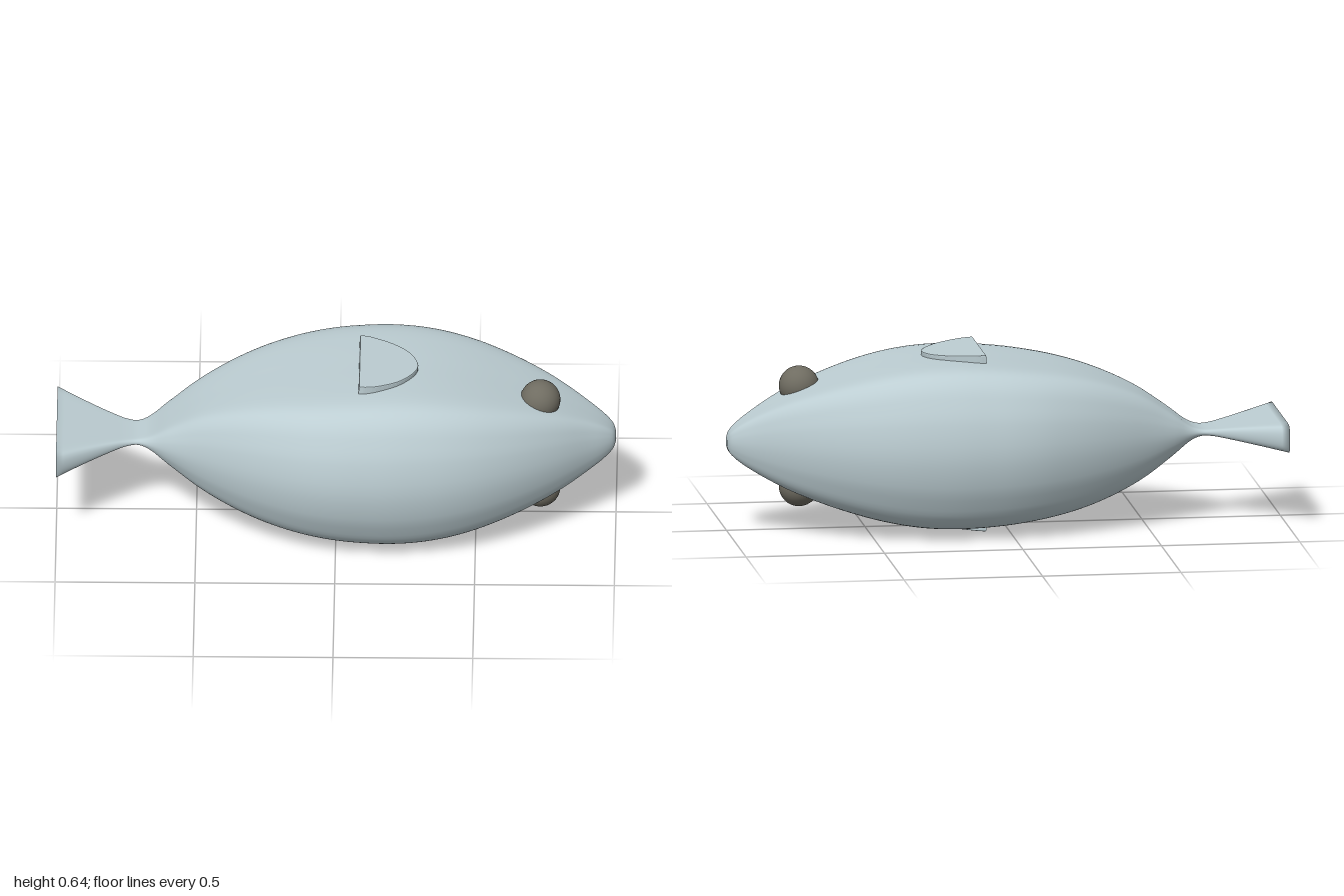
import * as THREE from 'three';

const MID = 0.3215; // height of the fish's plane of symmetry

const skin = new THREE.MeshStandardMaterial({ color: 0xbccdd2 });
skin.name = 'pale blue grey';
const eyeColor = new THREE.MeshStandardMaterial({ color: 0x6f6c61 });
eyeColor.name = 'dark olive grey';

// Body stations from tail to nose: x, half thickness (y), half width (z)
const STATIONS = [
  [-1, 0.052, 0.255], [-0.9, 0.036, 0.178], [-0.8, 0.02, 0.11], [-0.75, 0.013, 0.083],
  [-0.71, 0.012, 0.075], [-0.67, 0.025, 0.09], [-0.6, 0.076, 0.135], [-0.5, 0.143, 0.196],
  [-0.4, 0.191, 0.256], [-0.3, 0.227, 0.31], [-0.2, 0.253, 0.355], [-0.1, 0.271, 0.39],
  [0, 0.284, 0.41], [0.1, 0.292, 0.417], [0.2, 0.295, 0.417], [0.3, 0.291, 0.407],
  [0.4, 0.278, 0.388], [0.5, 0.257, 0.357], [0.6, 0.229, 0.313], [0.7, 0.196, 0.257],
  [0.8, 0.156, 0.19], [0.9, 0.104, 0.114], [0.96, 0.065, 0.07], [0.99, 0.037, 0.042], [1, 0.014, 0.018],
];

// Quarters of the unit cross-section (z, y), from side ridge to flattened top
const BODY_QUARTER = [[1, 0], [0.96, 0.39], [0.892, 0.63], [0.82, 0.81], [0.72, 0.935], [0.6, 0.985], [0.35, 1]];
const TAIL_QUARTER = [[1, 0], [0.99, 0.4], [0.965, 0.68], [0.925, 0.87], [0.87, 0.96], [0.75, 1], [0.4, 1]];

function sectionRing(quarter, count) {
  const upper = [...quarter, [0, 1], ...quarter.slice(1).reverse().map(([z, y]) => [-z, y])];
  const all = [...upper, ...upper.map(([z, y]) => [-z, -y])];
  const curve = new THREE.CatmullRomCurve3(all.map(([z, y]) => new THREE.Vector3(0, y, z)), true);
  return curve.getPoints(count).slice(0, count);
}

function bodyGeometry() {
  const n = 84;
  const bodyRing = sectionRing(BODY_QUARTER, n);
  const tailRing = sectionRing(TAIL_QUARTER, n);
  const path = new THREE.CatmullRomCurve3(STATIONS.map((s) => new THREE.Vector3(...s)));
  const rows = path.getPoints(96);
  const pos = [], index = [];

  // skin between neighbouring rings, blending from tail to body section
  rows.forEach((s, i) => {
    const blend = THREE.MathUtils.smoothstep(s.x, -0.8, -0.55);
    for (let j = 0; j < n; j++) {
      const p = tailRing[j].clone().lerp(bodyRing[j], blend);
      pos.push(s.x, p.y * s.y, p.z * s.z);
    }
    if (i === rows.length - 1) return;
    for (let j = 0; j < n; j++) {
      const k = (j + 1) % n;
      const a = i * n + j, b = a + n, c = i * n + k, d = c + n;
      index.push(a, b, c, b, d, c);
    }
  });

  // closed nose tip and tail end, shaded smoothly with the skin
  const last = (rows.length - 1) * n;
  const tip = pos.length / 3;
  pos.push(1, 0, 0, -1, 0, 0);
  for (let j = 0; j < n; j++) {
    const k = (j + 1) % n;
    index.push(tip, last + k, last + j, tip + 1, j, k);
  }

  const geo = new THREE.BufferGeometry();
  geo.setAttribute('position', new THREE.Float32BufferAttribute(pos, 3));
  geo.setIndex(index);
  geo.computeVertexNormals();
  return geo;
}

// D-shaped fin plate with a fine bevel, centred on its own thickness
function finGeometry() {
  const cx = 0.185, depth = 0.032, bevel = 0.004;
  const outline = [[0.085, -0.148], [0.12, -0.143], [0.2, -0.105], [0.26, -0.05], [0.287, 0.02],
    [0.272, 0.08], [0.22, 0.143], [0.15, 0.183], [0.105, 0.195], [0.085, 0.194]];
  const shape = new THREE.Shape();
  shape.moveTo(outline[0][0] - cx, -outline[0][1]);
  shape.splineThru(outline.slice(1).map(([x, z]) => new THREE.Vector2(x - cx, -z)));
  shape.closePath();
  const geo = new THREE.ExtrudeGeometry(shape, {
    depth, curveSegments: 4, bevelThickness: bevel, bevelSize: bevel, bevelSegments: 2,
  });
  return geo.translate(0, 0, -depth / 2).rotateX(-Math.PI / 2);
}

export function createModel() {
  const fish = new THREE.Group();
  fish.name = 'fish';
  const add = (name, geo, mat, x, y, z) => {
    const mesh = new THREE.Mesh(geo, mat);
    mesh.name = name;
    mesh.position.set(x, y, z);
    fish.add(mesh);
    return mesh;
  };

  add('bodyAndTail', bodyGeometry(), skin, 0, MID, 0);

  // one fin and one eye on each broad side
  const finGeo = finGeometry();
  const eyeGeo = new THREE.SphereGeometry(0.072, 32, 20);
  for (const [label, side] of [['upper', 1], ['lower', -1]]) {
    const fin = add(label + 'Fin', finGeo, skin, 0.186, MID + side * 0.295, 0);
    fin.rotation.z = -side * 0.065;
    add(label + 'Eye', eyeGeo, eyeColor, 0.73, 0.3255 + side * 0.183, 0.06);
  }
  return fish;
}
